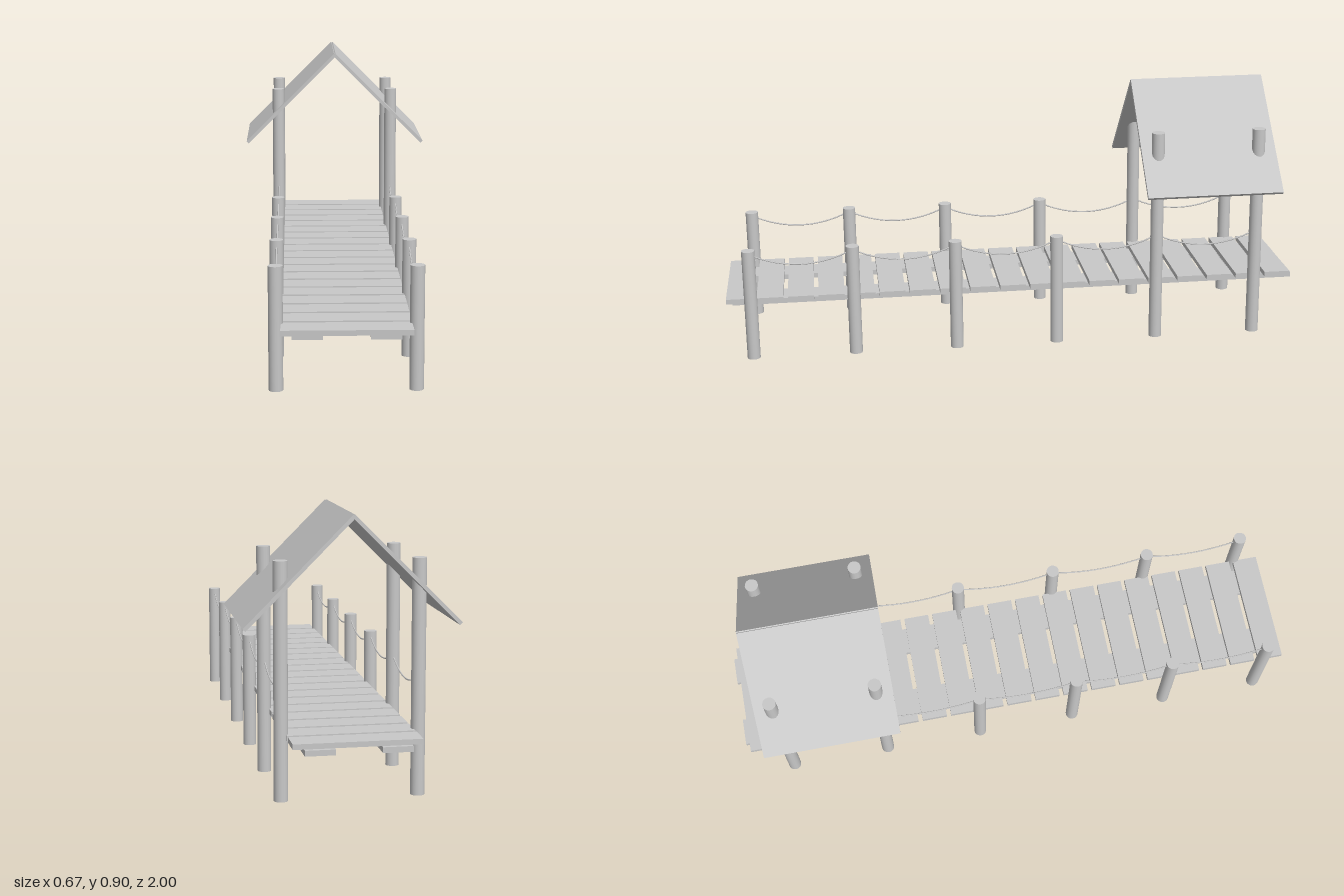
import * as THREE from 'three';

export function createModel() {
  const model = new THREE.Group();
  model.name = 'coveredFootbridge';
  const wood = new THREE.MeshStandardMaterial({ color: 0xc8c8c8 });
  wood.name = 'pale grey wood';

  // The whole bridge climbs slightly towards the back
  const bridge = new THREE.Group();
  bridge.name = 'bridge';
  bridge.rotation.x = 0.0095;
  bridge.position.set(0, 0.009, -0.002);
  model.add(bridge);

  const add = (name, geometry, x, y, z) => {
    const mesh = new THREE.Mesh(geometry, wood);
    mesh.name = name;
    mesh.position.set(x, y, z);
    bridge.add(mesh);
    return mesh;
  };

  // Deck planks with narrow gaps
  const plankCount = 19;
  const plank = new THREE.BoxGeometry(0.4, 0.017, 0.09);
  for (let i = 0; i < plankCount; i++) {
    add('plank', plank, 0, 0.2025, 0.955 - i * 0.1053);
  }

  const postZ = i => 0.915 - i * 0.353;
  const shortPost = new THREE.CylinderGeometry(0.0225, 0.0225, 0.39, 16);
  const tallPost = new THREE.CylinderGeometry(0.0225, 0.0225, 0.745, 16);
  const beam = new THREE.BoxGeometry(0.094, 0.018, 1.98);
  const roof = new THREE.BoxGeometry(0.473, 0.012, 0.47);

  for (const side of [-1, 1]) {
    // Beam under the deck
    add('beam', beam, side * 0.119, 0.185, -0.01);

    // Railing posts; the last two carry the roof
    for (let i = 0; i < 6; i++) {
      const tall = i > 3;
      add(tall ? 'roofPost' : 'railPost', tall ? tallPost : shortPost,
        side * 0.215, tall ? 0.3725 : 0.195, postZ(i));
    }

    // Sagging ropes between neighbouring posts
    for (let i = 0; i < 5; i++) {
      const points = [];
      for (let k = 0; k <= 8; k++) {
        const t = k / 4 - 1;
        points.push(new THREE.Vector3(0, 0.333 + 0.043 * t * t, -t * 0.1765));
      }
      const curve = new THREE.CatmullRomCurve3(points);
      add('rope', new THREE.TubeGeometry(curve, 16, 0.0025, 6),
        side * 0.214, 0, (postZ(i) + postZ(i + 1)) / 2);
    }

    // Sloping roof panel
    const panel = add('roofPanel', roof, side * 0.166, 0.713, -0.675);
    panel.rotation.z = -side * Math.PI / 4;
  }
  return model;
}
